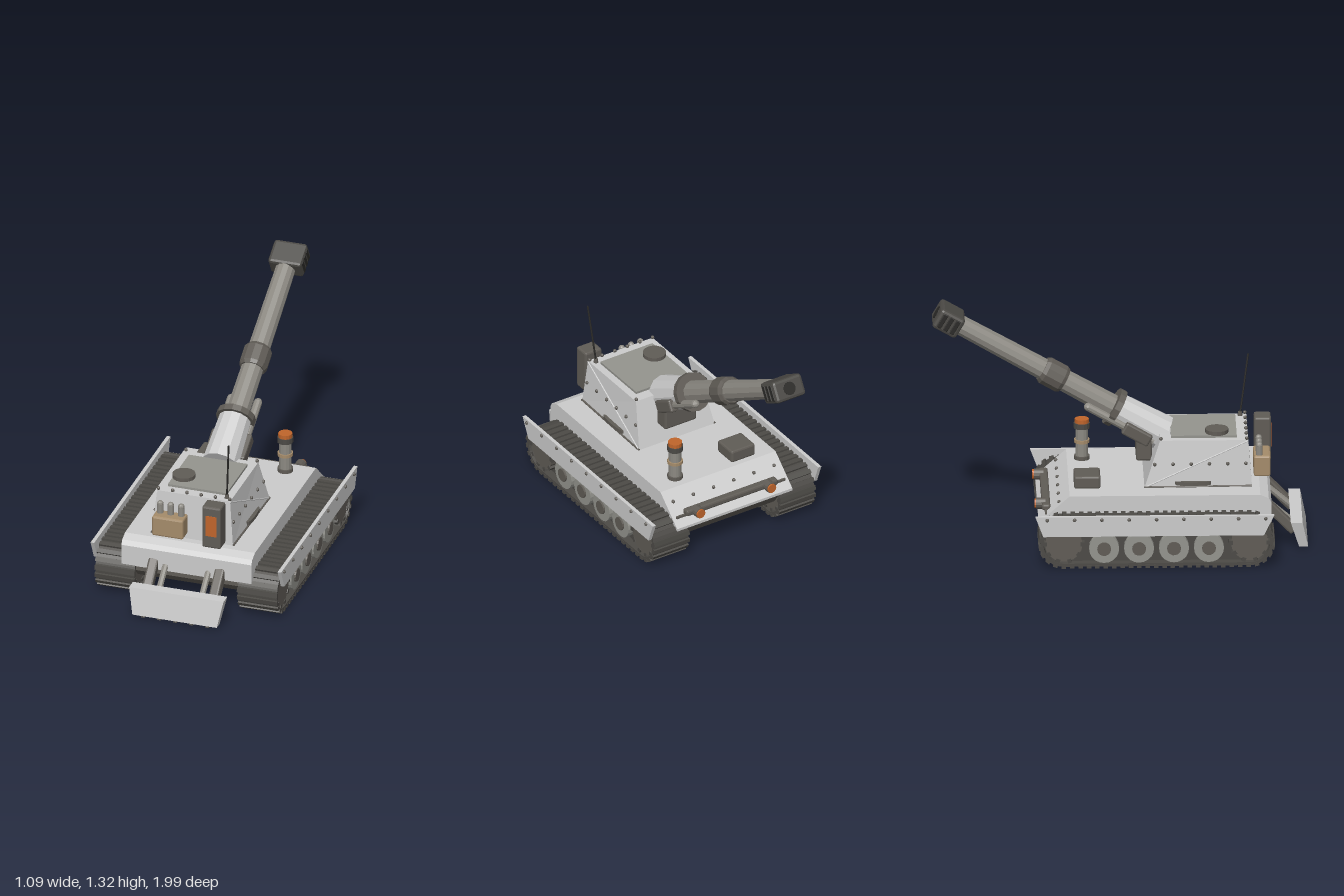
import * as THREE from 'three';
import { RoundedBoxGeometry } from 'three/addons/geometries/RoundedBoxGeometry.js';

const GREY = 0xcccccc, GUN = 0x8c8982, DARK = 0x605c56, TRACK = 0x4c4a46;
const WHEEL = 0x94948e, TAN = 0xa58c6b, ORANGE = 0xc0652b;

export function createModel() {
  const root = new THREE.Group();
  const mats = {};
  const mat = (color) => (mats[color] ??= new THREE.MeshStandardMaterial({ color, flatShading: true }));

  const add = (name, geo, color, pos = [0, 0, 0], rot = [0, 0, 0], parent = root) => {
    const m = new THREE.Mesh(geo, mat(color));
    m.name = name;
    m.position.set(...pos);
    m.rotation.set(...rot);
    parent.add(m);
    return m;
  };
  const group = (name, parent = root) => {
    const g = new THREE.Group();
    g.name = name;
    parent.add(g);
    return g;
  };
  const box = (w, h, d) => new THREE.BoxGeometry(w, h, d);
  const rbox = (w, h, d, r = 0.01) => new RoundedBoxGeometry(w, h, d, 1, r);
  const cyl = (rTop, rBottom, h, n = 12) => new THREE.CylinderGeometry(rTop, rBottom, h, n);
  const rivetGeo = new THREE.SphereGeometry(0.01, 8, 6);
  const rivet = (x, y, z) => add('rivet', rivetGeo, DARK, [x, y, z]);

  // side profile in (z, y), extruded across the width and centred on x
  const across = (shape, w) =>
    new THREE.ExtrudeGeometry(shape, { depth: w, bevelEnabled: false, curveSegments: 10 })
      .rotateY(-Math.PI / 2).translate(w / 2, 0, 0);
  const profile = (pts) => new THREE.Shape(pts.map(([z, y]) => new THREE.Vector2(z, y)));

  // rod between two points
  const rod = (name, a, b, r, color, parent = root, n = 8) => {
    const A = new THREE.Vector3(...a), B = new THREE.Vector3(...b);
    const m = add(name, cyl(r, r, A.distanceTo(B), n), color, A.clone().add(B).multiplyScalar(0.5).toArray(), [0, 0, 0], parent);
    m.quaternion.setFromUnitVectors(new THREE.Vector3(0, 1, 0), B.sub(A).normalize());
    return m;
  };

  // box whose corners are moved by a rule on their signs
  const shaped = (rule) => {
    const g = box(2, 2, 2), p = g.attributes.position;
    for (let i = 0; i < p.count; i++) p.setXYZ(i, ...rule(p.getX(i), p.getY(i), p.getZ(i)));
    g.computeVertexNormals();
    return g;
  };

  // hull
  add('hull', across(profile([[0.8, 0.2], [0.8, 0.315], [0.785, 0.34], [0.74, 0.36], [-0.275, 0.36], [-0.44, 0.215], [-0.44, 0.2]]), 0.73), GREY);
  add('lowerHull', across(profile([[0.72, 0.11], [0.77, 0.16], [0.77, 0.2], [-0.43, 0.2], [-0.36, 0.11]]), 0.6), DARK);
  for (let i = 0; i < 6; i++) rivet(-0.32 + i * 0.128, 0.315, -0.33);

  // tracks and running gear
  const loop = (r) => {
    const s = new THREE.Shape();
    s.moveTo(-0.31, 0.14 - r);
    s.lineTo(0.68, 0.14 - r);
    s.absarc(0.68, 0.14, r, -Math.PI / 2, Math.PI / 2, false);
    s.lineTo(-0.31, 0.14 + r);
    s.absarc(-0.31, 0.14, r, Math.PI / 2, Math.PI * 1.5, false);
    return s;
  };
  const band = loop(0.125);
  band.holes.push(loop(0.108));
  const bandGeo = across(band, 0.22), coreGeo = across(loop(0.11), 0.13);
  const treadGeo = box(0.225, 0.018, 0.024);
  const path = loop(0.126);
  const skirt = across(profile([[0.81, 0.305], [0.755, 0.193], [-0.42, 0.193], [-0.462, 0.305]]), 0.02);
  const side = [0, 0, Math.PI / 2];
  for (const s of [-1, 1]) {
    const track = group(s > 0 ? 'leftTrack' : 'rightTrack');
    add('trackBand', bandGeo, TRACK, [s * 0.4, 0, 0], [0, 0, 0], track);
    add('trackCore', coreGeo, TRACK, [s * 0.4, 0, 0], [0, 0, 0], track);
    for (let i = 0; i < 62; i++) {
      const p = path.getPointAt(i / 62), t = path.getTangentAt(i / 62);
      add('tread', treadGeo, TRACK, [s * 0.4, p.y, p.x], [-Math.atan2(t.y, t.x), 0, 0], track);
    }
    for (const z of [0.463, 0.277, 0.091, -0.095]) {
      add('roadWheel', cyl(0.08, 0.08, 0.205, 20), WHEEL, [s * 0.4, 0.112, z], side, track);
      add('wheelHub', cyl(0.037, 0.037, 0.225, 14), DARK, [s * 0.4, 0.112, z], side, track);
    }
    for (const z of [0.68, -0.31]) {
      add('sprocket', cyl(0.1, 0.1, 0.2, 18), DARK, [s * 0.4, 0.14, z], side, track);
      for (let k = 0; k < 10; k++) {
        const a = k * Math.PI / 5;
        add('sprocketTooth', box(0.21, 0.022, 0.022), TRACK, [s * 0.4, 0.14 + 0.1 * Math.sin(a), z + 0.1 * Math.cos(a)], [-a, 0, 0], track);
      }
    }
    add('sideSkirt', skirt, GREY, [s * 0.525, 0, 0], [0, 0, 0], track);
    for (let i = 0; i < 9; i++) rivet(s * 0.537, 0.288, 0.765 - i * 0.1455);
  }

  // turret: tapered, with a sloped gun face
  add('turret', shaped((x, y, z) => y < 0
    ? [x * (z > 0 ? 0.228 : 0.24), 0.355, z > 0 ? 0.7 : 0.125]
    : [x * 0.205, 0.612, z > 0 ? 0.68 : 0.21]), GREY);
  add('roofPanel', box(0.33, 0.018, 0.35), WHEEL, [0, 0.616, 0.445]);
  add('roofHatch', cyl(0.062, 0.062, 0.022, 16), DARK, [-0.11, 0.635, 0.515]);
  add('gunRecess', rbox(0.2, 0.14, 0.085), DARK, [0, 0.53, 0.128]);
  for (const s of [-1, 1]) {
    add('sideHatch', cyl(0.095, 0.095, 0.02, 16).scale(0.18, 1, 1), DARK, [s * 0.234, 0.382, 0.385]);
    for (let i = 0; i < 6; i++) rivet(s * (0.219 + i * 0.001), 0.485, 0.667 - i * 0.097);
    rivet(s * 0.2, 0.622, 0.215);
    rod('baseTrim', [s * 0.24, 0.362, 0.125], [s * 0.23, 0.362, 0.7], 0.006, DARK);
    rod('turretEdge', [s * 0.205, 0.608, 0.68], [s * 0.24, 0.362, 0.13], 0.004, GREY);
  }
  for (let i = 0; i < 6; i++) rivet(-0.2 + i * 0.08, 0.621, 0.672);

  // gun: local y runs along the barrel, local z is up
  const gun = group('gun');
  gun.position.set(0, 0.6, 0.2);
  gun.rotation.x = -Math.PI / 3;
  add('mantlet', cyl(0.088, 0.1, 0.29, 12), GREY, [0, 0.105, 0], [0, 0, 0], gun);
  add('mantletRing', cyl(0.106, 0.106, 0.035, 14), DARK, [0, 0.26, 0], [0, 0, 0], gun);
  add('barrel', cyl(0.054, 0.064, 1.0, 12), GUN, [0, 0.74, 0], [0, 0, 0], gun);
  add('barrelSleeve', cyl(0.078, 0.078, 0.095, 12), DARK, [0, 0.638, 0], [0, 0, 0], gun);
  for (const e of [-1, 1])
    add('sleeveEnd', cyl(e > 0 ? 0.066 : 0.078, e > 0 ? 0.078 : 0.068, 0.02, 12), DARK, [0, 0.638 + e * 0.057, 0], [0, 0, 0], gun);
  add('muzzleBrake', rbox(0.185, 0.145, 0.118, 0.016), TRACK, [0, 1.283, 0], [0, 0, 0], gun);
  add('muzzleBore', cyl(0.036, 0.036, 0.01, 16), 0x2a2927, [0, 1.353, 0], [0, 0, 0], gun);
  for (const s of [-1, 1]) {
    for (let i = 0; i < 3; i++)
      add('brakeSlot', rbox(0.01, 0.026, 0.085, 0.004), 0x2a2927, [s * 0.091, 1.245 + i * 0.038, 0], [0, 0, 0], gun);
    add('recoilRod', cyl(0.023, 0.023, 0.4, 10), GUN, [s * 0.075, 0.2, -0.046], [0, 0, 0], gun);
    add('recoilRodEnd', new THREE.SphereGeometry(0.023, 10, 6), GUN, [s * 0.075, 0.4, -0.046], [0, 0, 0], gun);
    add('recoilHousing', rbox(0.05, 0.16, 0.07), DARK, [s * 0.088, 0.1, -0.046], [0, 0, 0], gun);
  }

  // front stowage on the turret
  add('stowageBox', rbox(0.175, 0.115, 0.09), TAN, [-0.108, 0.458, 0.755]);
  for (const x of [-0.167, -0.108, -0.049]) {
    add('canister', cyl(0.018, 0.018, 0.06, 10), GUN, [x, 0.54, 0.74]);
    add('canisterCap', new THREE.SphereGeometry(0.018, 10, 6), GUN, [x, 0.568, 0.74]);
  }
  add('equipmentCase', rbox(0.105, 0.245, 0.09), DARK, [0.142, 0.506, 0.764]);
  add('casePanel', box(0.06, 0.12, 0.01), ORANGE, [0.142, 0.516, 0.807]);
  rod('antenna', [0.175, 0.61, 0.645], [0.2, 0.953, 0.69], 0.005, 0x2a2927, root, 6);
  add('antennaBase', cyl(0.01, 0.014, 0.03, 8), DARK, [0.176, 0.62, 0.646]);

  // rear deck: beacon post, box, rail and lamps
  const beacon = group('beacon');
  beacon.position.set(0.22, 0, -0.195);
  for (const [name, r, h, y, c] of [
    ['beaconFoot', 0.042, 0.02, 0.37, DARK], ['beaconPost', 0.034, 0.18, 0.45, GUN],
    ['beaconBand', 0.042, 0.018, 0.463, TAN], ['beaconCollar', 0.043, 0.03, 0.55, TRACK],
    ['beaconLens', 0.038, 0.024, 0.575, ORANGE]])
    add(name, cyl(r, r, h, 14), c, [0, y, 0], [0, 0, 0], beacon);
  add('deckBox', rbox(0.15, 0.07, 0.14), DARK, [-0.18, 0.395, -0.178]);
  add('rearRail', rbox(0.58, 0.035, 0.045), DARK, [0, 0.27, -0.398]);
  for (const s of [-1, 1]) {
    add('lamp', cyl(0.03, 0.03, 0.05, 12), DARK, [s * 0.225, 0.272, -0.425], [Math.PI / 2, 0, 0]);
    add('lampLens', cyl(0.026, 0.026, 0.012, 12), ORANGE, [s * 0.225, 0.272, -0.453], [Math.PI / 2, 0, 0]);
    add('railEnd', box(0.06, 0.012, 0.012), DARK, [s * 0.315, 0.258, -0.4]);
  }

  // dozer blade with arms
  add('dozerBlade', shaped((x, y, z) => y < 0
    ? [x * 0.237, 0.016, z > 0 ? 0.998 : 0.95]
    : [x * 0.265, 0.162, z > 0 ? 0.968 : 0.905]), GREY);
  for (let i = 0; i < 5; i++) add('bladeTooth', box(0.02, 0.016, 0.02), DARK, [-0.18 + i * 0.09, 0.012, 0.982]);
  for (const s of [-1, 1]) {
    add('bladeArm', rbox(0.055, 0.055, 0.22), DARK, [s * 0.187, 0.172, 0.85], [0.8, 0, s * 0.08]);
    rod('bladePiston', [s * 0.12, 0.23, 0.79], [s * 0.12, 0.11, 0.93], 0.017, GUN);
  }

  return root;
}
